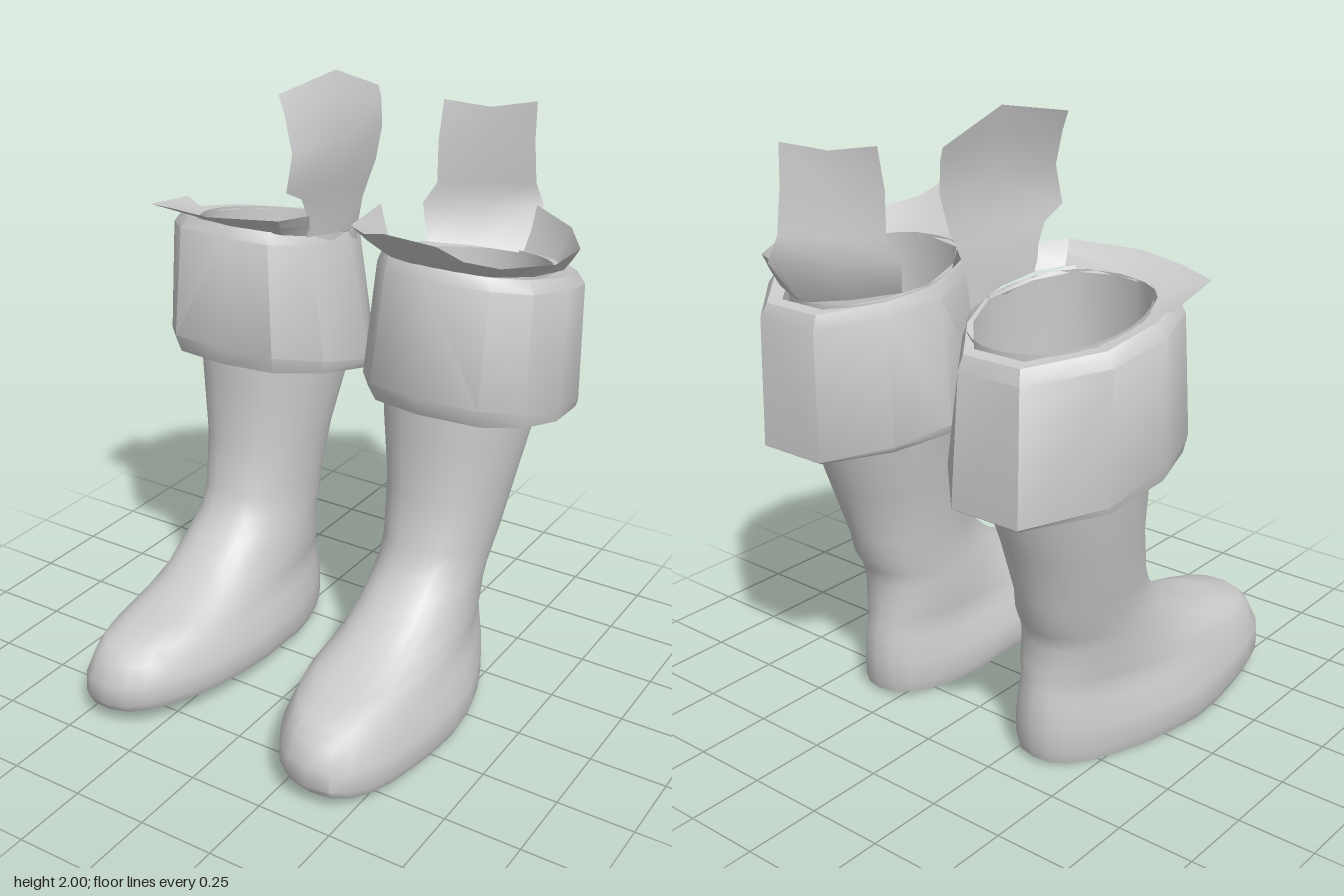
import * as THREE from 'three';
import { toCreasedNormals } from 'three/addons/utils/BufferGeometryUtils.js';

const leather = new THREE.MeshStandardMaterial({ color: 0xcccccc, side: THREE.DoubleSide });
leather.name = 'pale grey leather';

const CENTRE = 0.365; // distance of each boot from the middle
const lerp = THREE.MathUtils.lerp;
const smooth = THREE.MathUtils.smoothstep;

// Skin a grid of [outward, y, z] points; side is +1 for the left boot, -1 for the right
function skin(name, rows, side, closed = false, crease = 0.6) {
  const n = rows[0].length, position = [], index = [];
  rows.forEach(row => row.forEach(([u, y, z]) => position.push(side * (CENTRE + u), y, z)));
  for (let r = 0; r < rows.length - 1; r++) {
    for (let i = 0; i < (closed ? n : n - 1); i++) {
      const j = (i + 1) % n;
      const a = r * n + i, b = r * n + j, c = a + n, d = b + n;
      if (side > 0) index.push(a, b, d, a, d, c);
      else index.push(a, d, b, a, c, d);
    }
  }
  const geometry = new THREE.BufferGeometry();
  geometry.setAttribute('position', new THREE.Float32BufferAttribute(position, 3));
  geometry.setIndex(index);
  const mesh = new THREE.Mesh(toCreasedNormals(geometry, crease), leather);
  mesh.name = name;
  return mesh;
}

// Underside height along the foot: heel, arch notch, then rising to the toe
const SOLE = [[-0.41, 0.025], [-0.3, 0.01], [-0.1, 0.015], [-0.02, 0.042], [0.05, 0.025], [0.3, 0.038], [0.7, 0.062]];
function soleHeight(z) {
  for (let i = 1; i < SOLE.length; i++) {
    const [z0, y0] = SOLE[i - 1], [z1, y1] = SOLE[i];
    if (z <= z1) return lerp(y0, y1, Math.max(0, (z - z0) / (z1 - z0)));
  }
  return 0.062;
}

// Cross-sections: height, back z, front z, half width, heel width ratio, forward tilt
const SECTIONS = [
  [0, -0.39, 0.67, 0.228, 0.82, 0],
  [0.04, -0.4, 0.69, 0.242, 0.82, 0],
  [0.12, -0.4, 0.685, 0.238, 0.82, 0],
  [0.2, -0.395, 0.655, 0.212, 0.86, 0],
  [0.25, -0.385, 0.61, 0.196, 0.9, 0],
  [0.285, -0.38, 0.48, 0.189, 0.92, 0],
  [0.33, -0.375, 0.32, 0.182, 0.95, 0],
  [0.4, -0.37, 0.2, 0.176, 0.97, 0],
  [0.45, -0.38, 0.13, 0.173, 1, 0],
  [0.5, -0.41, 0.075, 0.172, 1, 0],
  [0.57, -0.42, 0.035, 0.18, 1, 0],
  [0.75, -0.48, 0.0, 0.2, 1, 0],
  [0.95, -0.55, -0.01, 0.235, 1, 0],
  [1.1, -0.58, -0.01, 0.25, 1, 0.05],
  [1.46, -0.59, -0.035, 0.25, 1, 0.18],
];

// Shape differences: sideways offset of the foot, sole roll, inner side of the cuff top
const SHAPES = {
  left: { shift: -0.013, roll: 0.07, cuffTop: 0.89 },
  right: { shift: 0.004, roll: 0.13, cuffTop: 0.77 },
};

function section([h, back, front, width, heel, tilt], shape, sides = 28) {
  return Array.from({ length: sides }, (_, i) => {
    const a = i / sides * Math.PI * 2, s = Math.sin(a), t = (1 + Math.cos(a)) / 2;
    const z = lerp(back, front, t);
    // Boxy foot, rounder shaft
    const power = lerp(0.78, lerp(1, 0.82, t), smooth(h, 0.3, 0.6));
    const u = Math.sign(s) * Math.abs(s) ** power * width * lerp(heel, 1, smooth(t, 0, 0.45));
    const low = Math.max(0, 1 - h / 0.3);
    const roll = shape.roll * u * lerp(0.35, 1, smooth(z, -0.1, 0.3)) * Math.max(0, 1 - h / 0.5);
    // Heels turn in and toes turn out
    const toeOut = 0.025 * smooth(z, 0.3, 0.69);
    const heelIn = 0.03 * (1 - smooth(z, -0.35, 0.1)) * (1 - smooth(h, 0.3, 0.7));
    const y = h + soleHeight(z) * low - roll + tilt * (z + 0.3);
    return [u + shape.shift + toeOut - heelIn, Math.max(0, y), z];
  });
}

// Outline of the turned-down cuff: [outward, z]
const CUFF = [[0, 0.06], [0.2, 0.03], [0.3, -0.08], [0.34, -0.25], [0.31, -0.47], [0.14, -0.665],
  [-0.1, -0.665], [-0.26, -0.5], [-0.34, -0.33], [-0.29, -0.12], [-0.18, 0.02]];

function cuffRing(height, tilt, outer, inner, front, back) {
  return CUFF.map(([u, z]) => {
    const pz = -0.3 + (z + 0.3) * (z > -0.3 ? front : back);
    return [u * (u > 0 ? outer : inner), height + tilt * (pz + 0.3), pz];
  });
}

const rim = z => 1.46 + 0.18 * (z + 0.3);

// Torn lips around the opening: [outward, y, z] outer edge, [outward, z] inner edge
const LIPS = {
  left: {
    outer: [[-0.31, 1.6, -0.25], [-0.28, 1.595, -0.02], [-0.17, 1.615, 0.08], [-0.07, 1.65, 0.14], [0.1, 1.64, 0.135],
      [0.16, 1.59, 0.08], [0.24, 1.56, 0], [0.32, 1.53, -0.2], [0.31, 1.52, -0.4], [0.2, 1.52, -0.58], [0.03, 1.54, -0.68]],
    inner: [[-0.25, -0.22], [-0.2, -0.1], [-0.14, -0.05], [-0.07, -0.03], [0.07, -0.03], [0.12, -0.05],
      [0.18, -0.08], [0.25, -0.2], [0.26, -0.4], [0.17, -0.54], [0.02, -0.6]],
  },
  right: {
    outer: [[0.345, 1.5, -0.25], [0.32, 1.535, -0.02], [0.2, 1.55, 0.02], [0.03, 1.56, 0.06], [-0.2, 1.57, 0], [-0.25, 1.57, -0.1]],
    inner: [[0.25, -0.22], [0.2, -0.1], [0.12, -0.06], [0.02, -0.04], [-0.17, -0.06], [-0.23, -0.13]],
  },
};

// Upright pull tabs, row by row from the rim up
const TABS = {
  left: [
    [[-0.23, 1.44, -0.42], [-0.12, 1.42, -0.52], [0.03, 1.4, -0.59]],
    [[-0.28, 1.55, -0.47], [-0.12, 1.54, -0.59], [0.05, 1.54, -0.69]],
    [[-0.24, 1.62, -0.49], [-0.11, 1.62, -0.58], [0.03, 1.62, -0.665]],
    [[-0.24, 1.76, -0.49], [-0.11, 1.76, -0.57], [0.025, 1.76, -0.65]],
    [[-0.235, 1.89, -0.51], [-0.1, 1.87, -0.57], [0.03, 1.89, -0.64]],
  ],
  right: [
    [[-0.23, 1.49, -0.12], [-0.25, 1.47, -0.26], [-0.23, 1.44, -0.42]],
    [[-0.24, 1.57, -0.1], [-0.255, 1.56, -0.26], [-0.25, 1.55, -0.42]],
    [[-0.24, 1.63, -0.07], [-0.265, 1.62, -0.25], [-0.265, 1.62, -0.44]],
    [[-0.24, 1.67, 0.015], [-0.275, 1.67, -0.24], [-0.275, 1.67, -0.46]],
    [[-0.25, 1.79, -0.005], [-0.285, 1.79, -0.25], [-0.28, 1.78, -0.49]],
    [[-0.21, 1.9, -0.025], [-0.26, 1.92, -0.26], [-0.275, 1.87, -0.49]],
    [[-0.185, 1.96, -0.03], [-0.245, 2.0, -0.26], [-0.265, 1.91, -0.49]],
  ],
};

function createBoot(key, side) {
  const shape = SHAPES[key];
  const boot = new THREE.Group();
  boot.name = key + 'Boot';

  // Foot and hollow shaft
  const rings = SECTIONS.map(s => section(s, shape));
  boot.add(skin('footAndShaft', rings, side, true, 0.8));

  // Underside, bridging matching points of the lowest ring
  const base = rings[0], n = base.length;
  const strips = Array.from({ length: n / 2 + 1 }, (_, i) => [base[i], base[(n - i) % n]]);
  boot.add(skin('sole', strips, side, false, 0.3));

  // Turned-down cuff: top edge, outer wall, hem and underside
  boot.add(skin('cuff', [
    cuffRing(1.45, 0.18, 0.75, 0.72, 0.74, 0.8),
    cuffRing(1.46, 0.2, 0.9, shape.cuffTop - 0.04, 0.8, 0.92),
    cuffRing(1.42, 0.2, 0.99, shape.cuffTop, 0.86, 0.97),
    cuffRing(1.03, 0.25, 1, 1, 1, 1),
    cuffRing(0.995, 0.18, 0.98, 0.96, 0.93, 0.97),
    cuffRing(1.03, 0.2, 0.72, 0.72, 0.8, 0.75),
  ], side, true, 0.7));

  // Flared lip and pull tab
  const { outer, inner } = LIPS[key];
  const innerEdge = inner.map(([u, z]) => [u, rim(z), z]);
  const middle = outer.map((p, i) => {
    const q = innerEdge[i];
    return [lerp(q[0], p[0], 0.55), lerp(q[1], p[1], 0.5), lerp(q[2], p[2], 0.55)];
  });
  boot.add(skin('lip', [innerEdge, middle, outer], side));
  boot.add(skin('pullTab', TABS[key], side, false, 0.9));
  return boot;
}

export function createModel() {
  const model = new THREE.Group();
  model.name = 'boots';
  model.add(createBoot('left', 1), createBoot('right', -1));
  return model;
}
